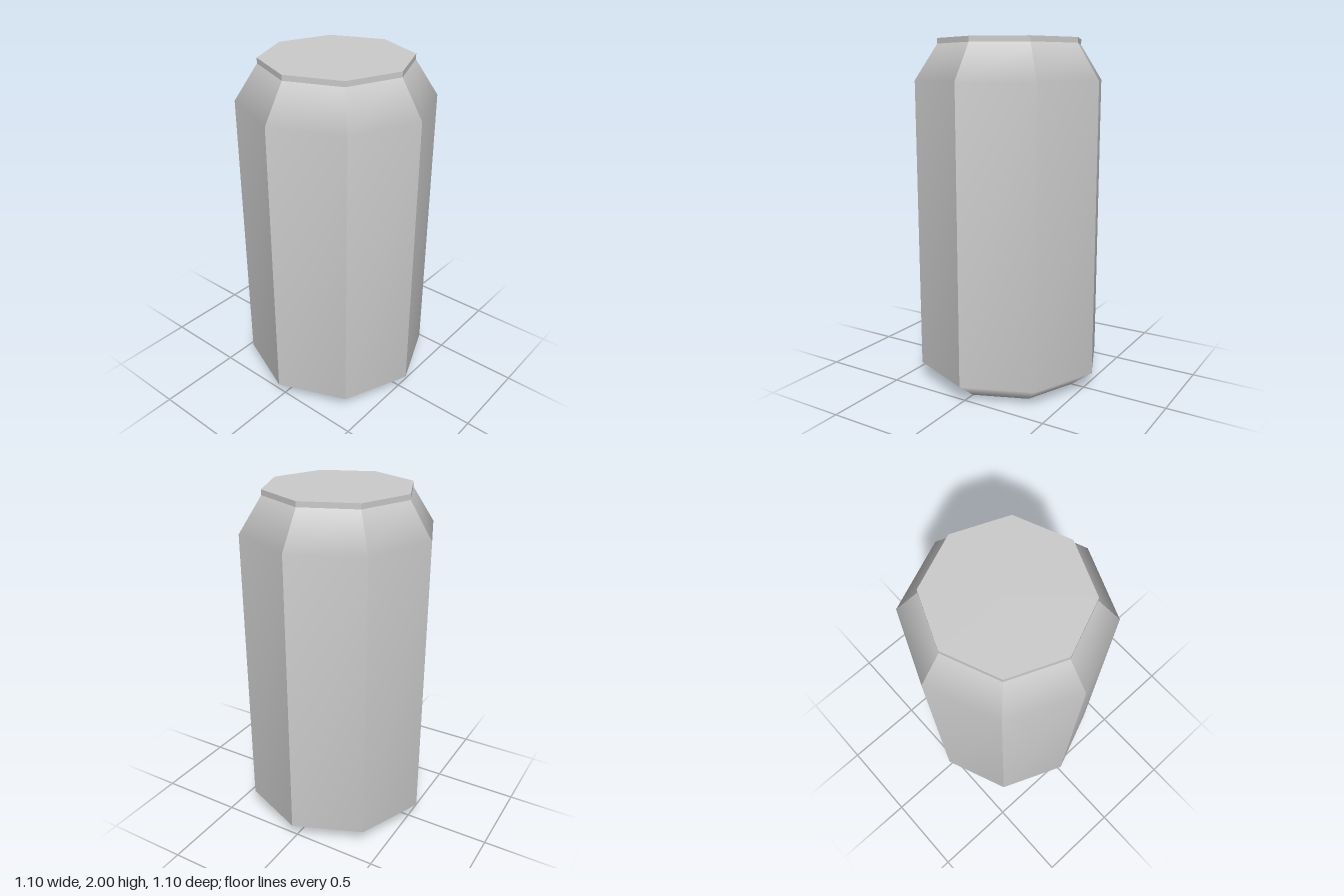
import * as THREE from 'three';
import { mergeGeometries } from 'three/addons/utils/BufferGeometryUtils.js';

const SIDES = 8;
const NECK = 0.42;
const RADIUS = 0.55;

// One facet of the can: smooth up the profile, sharp against its neighbours
function facet(profile, index) {
  const step = (Math.PI * 2) / SIDES;
  const positions = [];
  const indices = [];
  profile.forEach(([r, y], row) => {
    for (const a of [index * step, (index + 1) * step]) {
      positions.push(r * Math.sin(a), y, r * Math.cos(a));
    }
    if (row > 0) {
      const b = (row - 1) * 2;
      indices.push(b, b + 1, b + 3, b, b + 3, b + 2);
    }
  });
  const geometry = new THREE.BufferGeometry();
  geometry.setAttribute('position', new THREE.Float32BufferAttribute(positions, 3));
  geometry.setIndex(indices);
  geometry.computeVertexNormals();
  return geometry;
}

// Ring of facets following a [radius, height] profile from bottom to top
function facetedWall(profile) {
  return mergeGeometries(Array.from({ length: SIDES }, (_, i) => facet(profile, i)));
}

export function createModel() {
  const group = new THREE.Group();
  const material = new THREE.MeshStandardMaterial({ color: 0xcccccc });
  const add = (name, geometry) => {
    const mesh = new THREE.Mesh(geometry, material);
    mesh.name = name;
    group.add(mesh);
  };

  // Straight wall with bevelled foot and tapered shoulder
  add('body', facetedWall([[NECK, 0], [RADIUS, 0.1], [RADIUS, 1.77], [NECK, 1.97]]));

  // Narrow upright band around the lid
  add('rim', facetedWall([[NECK, 1.97], [NECK, 2]]));

  // Flat octagonal ends
  add('lid', new THREE.CircleGeometry(NECK, SIDES).rotateX(-Math.PI / 2).translate(0, 2, 0));
  add('base', new THREE.CircleGeometry(NECK, SIDES).rotateX(Math.PI / 2));

  return group;
}
